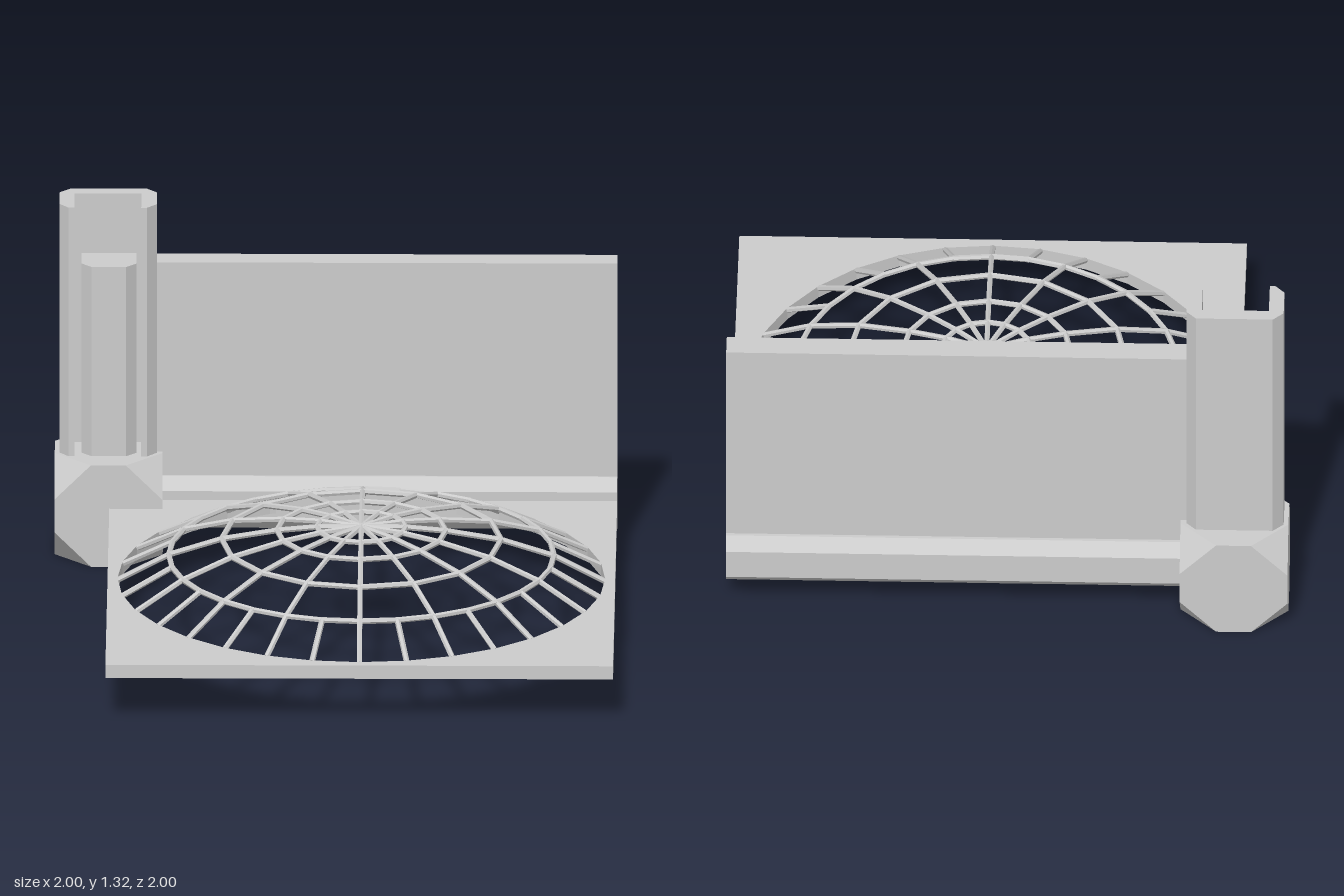
import * as THREE from 'three';
import { mergeGeometries } from 'three/addons/utils/BufferGeometryUtils.js';
import { ConvexGeometry } from 'three/addons/geometries/ConvexGeometry.js';

const material = new THREE.MeshStandardMaterial({ color: 0xcccccc, flatShading: true });

function addPart(group, name, geometry) {
  const mesh = new THREE.Mesh(geometry, material);
  mesh.name = name;
  group.add(mesh);
  return mesh;
}

// Rectangle with chamfered corners, as a list of points
function chamferedRect(x0, y0, x1, y1, c) {
  return [[x0 + c, y0], [x1 - c, y0], [x1, y0 + c], [x1, y1 - c],
    [x1 - c, y1], [x0 + c, y1], [x0, y1 - c], [x0, y0 + c]];
}

function shapeOf(points) {
  return new THREE.Shape(points.map(([x, y]) => new THREE.Vector2(x, y)));
}

// Extrude a plan outline given as (x, -z) upward from y0 to y1
function extrudeUp(shape, y0, y1) {
  return new THREE.ExtrudeGeometry(shape, { depth: y1 - y0, bevelEnabled: false })
    .rotateX(-Math.PI / 2).translate(0, y0, 0);
}

function box(x0, x1, y0, y1, z0, z1) {
  return new THREE.BoxGeometry(x1 - x0, y1 - y0, z1 - z0)
    .translate((x0 + x1) / 2, (y0 + y1) / 2, (z0 + z1) / 2);
}

// Thin bar between two points
function strut(a, b, radius = 0.0105) {
  const dir = b.clone().sub(a);
  const q = new THREE.Quaternion().setFromUnitVectors(
    new THREE.Vector3(0, 1, 0), dir.clone().normalize());
  const mid = a.clone().add(b).multiplyScalar(0.5);
  return new THREE.CylinderGeometry(radius, radius, dir.length() + 0.004, 6)
    .applyQuaternion(q).translate(mid.x, mid.y, mid.z);
}

// Cube with its eight corners cut off
function truncatedCube(half, cut) {
  const points = [];
  for (const x of [-1, 1]) for (const y of [-1, 1]) for (const z of [-1, 1]) {
    const k = half - cut;
    points.push(
      new THREE.Vector3(x * k, y * half, z * half),
      new THREE.Vector3(x * half, y * k, z * half),
      new THREE.Vector3(x * half, y * half, z * k));
  }
  return new ConvexGeometry(points);
}

export function createModel() {
  const model = new THREE.Group();
  model.name = 'domeCornerSection';
  const centre = 0.0975;

  // Corner joint
  addPart(model, 'cornerJoint', truncatedCube(0.192, 0.13).translate(-0.808, 0.192, -0.808));

  // Octagonal beam running along the back
  const beamShape = shapeOf(chamferedRect(0.71, 0.1, 0.908, 0.295, 0.042));
  addPart(model, 'backBeam', new THREE.ExtrudeGeometry(beamShape, { depth: 1.7, bevelEnabled: false })
    .rotateY(Math.PI / 2).translate(-0.7, 0, 0));

  // Wall panel above the beam
  addPart(model, 'wallPanel', box(-0.66, 1, 0.28, 1.1, -0.853, -0.762));

  // Octagonal core of the upright
  addPart(model, 'postCore', extrudeUp(
    shapeOf(chamferedRect(-0.905, 0.712, -0.71, 0.905, 0.036)), 0.3, 1.1));

  // Channel-shaped upright, open to the front
  addPart(model, 'postChannel', extrudeUp(shapeOf([
    [-0.95, 0.71], [-0.93, 0.71], [-0.93, 0.857], [-0.692, 0.857], [-0.692, 0.71],
    [-0.672, 0.71], [-0.637, 0.748], [-0.637, 0.87], [-0.672, 0.908],
    [-0.945, 0.908], [-0.983, 0.87], [-0.983, 0.748],
  ]), 0.3, 1.325));

  // Square roof plate with a round opening
  const plate = shapeOf([[-0.805, -1], [1, -1], [1, 0.805], [-0.805, 0.805]]);
  const opening = [];
  for (let i = 0; i < 32; i++) {
    const a = -i * Math.PI / 16;
    opening.push(new THREE.Vector2(centre + 0.867 * Math.cos(a), -centre + 0.867 * Math.sin(a)));
  }
  plate.holes.push(new THREE.Path(opening));
  addPart(model, 'roofPlate', extrudeUp(plate, 0.17, 0.22));

  // Dome lattice: rings as [radius, height, sides]
  const rings = [[0.158, 0.414, 16], [0.3, 0.401, 16], [0.497, 0.368, 16],
    [0.685, 0.308, 32], [0.862, 0.214, 32]];
  const at = ([r, y], a) => new THREE.Vector3(
    centre + r * Math.cos(a), y, centre + r * Math.sin(a));
  const ringBars = [], ribBars = [];
  rings.forEach((ring, k) => {
    const n = ring[2], step = 2 * Math.PI / n;
    for (let i = 0; i < n; i++) {
      if (k < 4) ringBars.push(strut(at(ring, i * step), at(ring, (i + 1) * step)));
      ribBars.push(strut(at(k && (n === 16 || k === 4 || i % 2 === 0) ? rings[k - 1] : [0, 0.416], i * step),
        at(ring, i * step)));
      // Only every second bar continues above the fourth ring
      if (k === 3 && i % 2) ribBars.pop();
    }
  });
  addPart(model, 'domeRings', mergeGeometries(ringBars));
  addPart(model, 'domeRibs', mergeGeometries(ribBars));

  return model;
}
